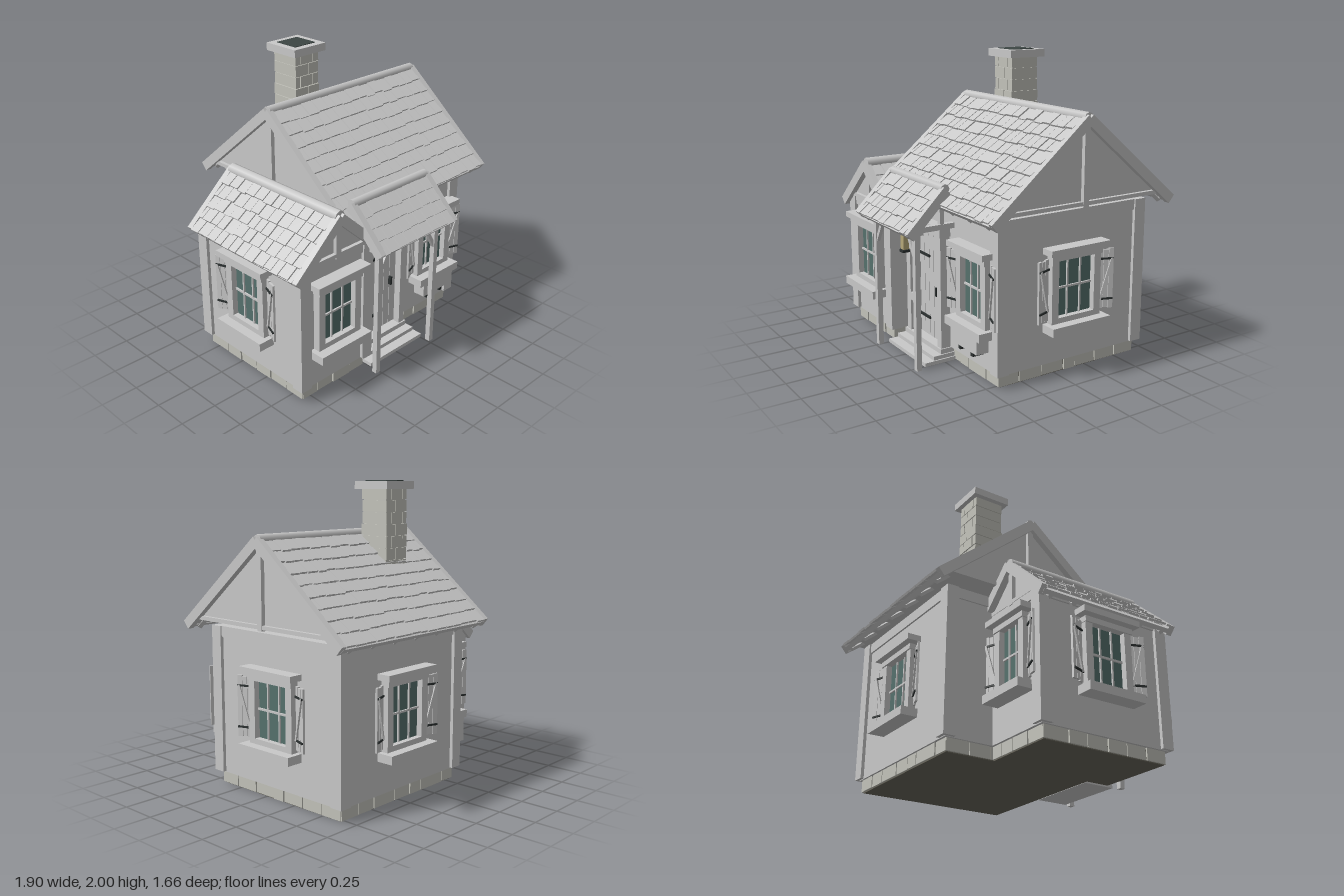
import * as THREE from 'three';
import { mergeGeometries } from 'three/addons/utils/BufferGeometryUtils.js';

const mat = (name, color) => Object.assign(new THREE.MeshStandardMaterial({ color }), { name });

export function createModel() {
  const M = {
    timber: mat('pale grey', 0xc8c8c8),
    stone: mat('warm stone', 0xc2c2ba),
    floor: mat('dark earth', 0x68655a),
    glass: mat('teal glass', 0x55706c),
    iron: mat('dark iron', 0x2c3131),
    soot: mat('soot', 0x3c4644),
    lamp: mat('lamp glow', 0xb5a878),
  };
  let seed = 7;
  const rnd = () => (seed = (seed * 16807) % 2147483647) / 2147483647;
  const root = new THREE.Group();
  root.name = 'cottage';

  const group = (name, parent, x = 0, y = 0, z = 0) => {
    const g = new THREE.Group();
    g.name = name;
    g.position.set(x, y, z);
    parent.add(g);
    return g;
  };
  const mesh = (name, parent, geo, m) => {
    const o = new THREE.Mesh(geo, m);
    o.name = name;
    parent.add(o);
    return o;
  };
  // Box placed by its centre
  const box = (name, parent, m, w, h, d, x, y, z) => {
    const o = mesh(name, parent, new THREE.BoxGeometry(w, h, d), m);
    o.position.set(x, y, z);
    return o;
  };
  // Box placed by its lower and upper corners
  const span = (name, parent, m, x0, x1, y0, y1, z0, z1) =>
    box(name, parent, m, x1 - x0, y1 - y0, z1 - z0, (x0 + x1) / 2, (y0 + y1) / 2, (z0 + z1) / 2);

  // Walls, corner posts, top plates and foundation stones of one block
  function block(name, x0, x1, z0, z1, top) {
    const g = group(name, root);
    span('wall', g, M.timber, x0, x1, 0.085, top, z0, z1);
    for (const x of [x0, x1]) for (const z of [z0, z1]) {
      const sx = x === x0 ? 1 : -1, sz = z === z0 ? 1 : -1;
      box('cornerPost', g, M.timber, 0.085, top - 0.09, 0.085, x + sx * 0.02, (top + 0.09) / 2, z + sz * 0.02);
    }
    span('topPlate', g, M.timber, x0 - 0.012, x1 + 0.012, top - 0.07, top, z0 - 0.012, z1 + 0.012);
    const i = 0.025;
    span('foundationCore', g, M.floor, x0 + i, x1 - i, 0, 0.085, z0 + i, z1 - i);
    const row = (a, b, put) => {
      const n = Math.round((b - a) / 0.15), cuts = [a];
      for (let k = 1; k < n; k++) cuts.push(a + (b - a) * (k + (rnd() - 0.5) * 0.5) / n);
      cuts.push(b);
      for (let k = 0; k < n; k++) put(cuts[k] + 0.004, cuts[k + 1] - 0.004, rnd() * 0.01);
    };
    for (const z of [z0 + 0.045, z1 - 0.045])
      row(x0 + 0.015, x1 - 0.015, (a, b, j) => span('foundationStone', g, M.stone, a, b, 0.006, 0.088, z - 0.025 - j, z + 0.025 + j));
    for (const x of [x0 + 0.045, x1 - 0.045])
      row(z0 + 0.015, z1 - 0.015, (a, b, j) => span('foundationStone', g, M.stone, x - 0.025 - j, x + 0.025 + j, 0.006, 0.088, a, b));
  }

  // One shingled slope, falling from its ridge towards local +z
  function slope(parent, w, run, rise, rows) {
    const g = group('roofSlope', parent);
    g.rotation.x = Math.atan2(rise, run);
    const len = Math.hypot(run, rise), step = (len - 0.03) / rows;
    box('roofDeck', g, M.timber, w - 0.03, 0.025, len - 0.02, 0, -0.0125, len / 2 - 0.01);
    const tiles = [];
    for (let r = 0; r < rows; r++) {
      let x = -w / 2 + 0.035;
      const end = -x;
      let tw = r % 2 ? 0.04 : 0.08;
      while (x < end - 0.01) {
        if (x + tw > end - 0.025) tw = end - x;
        const t = new THREE.BoxGeometry(tw - 0.006, 0.014, step * 1.2);
        t.rotateX(-0.13);
        t.translate(x + tw / 2, 0.011 + rnd() * 0.006, 0.015 + (r + 0.5) * step + rnd() * 0.012);
        tiles.push(t);
        x += tw;
        tw = 0.065 + rnd() * 0.028;
      }
    }
    mesh('shingles', g, mergeGeometries(tiles), M.timber);
    for (const s of [-1, 1]) box('bargeBoard', g, M.timber, 0.042, 0.065, len, s * (w / 2 - 0.021), -0.008, len / 2);
    box('eaveBoard', g, M.timber, w - 0.05, 0.03, 0.022, 0, -0.015, len - 0.01);
    const n = Math.round(w / 0.19);
    for (let k = 0; k < n; k++) {
      const tail = box('rafterTail', g, M.timber, 0.026, 0.026, Math.min(0.24, len * 0.7), (k + 0.5) * w / n - w / 2, -0.035, len - Math.min(0.12, len * 0.35));
      tail.rotation.z = Math.PI / 4;
    }
  }
  const ridgePole = (parent, w, r) => {
    const geo = new THREE.CylinderGeometry(r, r, w, 8).rotateZ(Math.PI / 2);
    return mesh('ridgePole', parent, geo, M.timber);
  };
  // Two slopes with a closed attic, king posts and tie beams; the ridge runs along local x
  function gableRoof(name, w, run, rise, rows, drop, r, x, y, z) {
    const g = group(name, root, x, y, z);
    for (const a of [0, Math.PI]) {
      const side = group('roofSide', g);
      side.rotation.y = a;
      slope(side, w, run, rise, rows);
    }
    ridgePole(g, w - 0.04, r);
    const half = (drop - 0.02) * run / rise, depth = w - 0.11;
    const tri = new THREE.Shape([[-half, -drop], [half, -drop], [0, -0.02]].map(p => new THREE.Vector2(...p)));
    const geo = new THREE.ExtrudeGeometry(tri, { depth, bevelEnabled: false });
    mesh('gableWalls', g, geo.translate(0, 0, -depth / 2).rotateY(Math.PI / 2), M.timber);
    for (const s of [-1, 1]) {
      const px = s * (w / 2 - 0.045);
      box('kingPost', g, M.timber, 0.035, drop, 0.04, px, -drop / 2 - 0.01, 0);
      box('tieBeam', g, M.timber, 0.03, 0.025, half * 2, px, -drop + 0.0125, 0);
    }
    return g;
  }

  block('mainHouse', -0.33, 0.80, -0.67, 0.44, 1.07);
  block('sideWing', -0.835, -0.255, -0.34, 0.61, 0.95);
  gableRoof('mainRoof', 1.41, 0.69, 0.575, 9, 0.54, 0.033, 0.245, 1.655, -0.115);
  gableRoof('wingRoof', 1.05, 0.36, 0.325, 5, 0.275, 0.04, -0.545, 1.215, 0.14).rotation.y = Math.PI / 2;

  // Window on a wall facing local +z: half widths of glass and trim
  function makeWindow(name, x, z, turn, gw, y0, y1, shutters) {
    const g = group(name, root, x, 0, z);
    g.rotation.y = turn;
    const fw = gw + 0.052, mid = (y0 + y1) / 2;
    span('glass', g, M.glass, -gw, gw, y0, y1, 0.002, 0.01);
    for (const s of [-1, 1]) box('jamb', g, M.timber, 0.052, y1 - y0 + 0.02, 0.05, s * (gw + 0.026), mid, 0.025);
    span('headBoard', g, M.timber, -fw - 0.005, fw + 0.005, y1, y1 + 0.036, 0, 0.06);
    span('lintel', g, M.timber, -fw - 0.04, fw + 0.04, y1 + 0.046, y1 + 0.085, -0.01, 0.095);
    span('lowerRail', g, M.timber, -fw, fw, y0 - 0.035, y0, 0, 0.05);
    span('sill', g, M.timber, -fw - 0.035, fw + 0.035, y0 - 0.09, y0 - 0.035, -0.01, 0.115);
    for (const s of [-1, 1]) box('mullion', g, M.timber, 0.011, y1 - y0, 0.014, s * gw * 0.36, mid, 0.014);
    box('crossBar', g, M.timber, gw * 2, 0.013, 0.014, 0, mid, 0.014);
    if (!shutters) return;
    for (const s of [-1, 1]) {
      const h = group('shutter', g, s * (fw + 0.008), mid, 0.012);
      h.rotation.y = -s * 0.35;
      for (let k = 0; k < 3; k++)
        box('shutterPlank', h, M.timber, 0.032, 0.4 - (k % 2) * 0.012, 0.014, s * (0.018 + k * 0.035), 0, 0);
      for (const v of [-1, 1]) box('hinge', h, M.iron, 0.1, 0.012, 0.008, s * 0.052, v * 0.135, 0.011);
      const brace = box('shutterBrace', h, M.timber, 0.016, 0.29, 0.012, s * 0.053, 0, 0.012);
      brace.rotation.z = -s * 0.28;
    }
  }
  makeWindow('wingFrontWindow', -0.55, 0.61, 0, 0.13, 0.39, 0.75, false);
  makeWindow('mainFrontWindow', 0.555, 0.44, 0, 0.117, 0.405, 0.78, true);
  makeWindow('mainSideWindow', 0.80, -0.115, Math.PI / 2, 0.14, 0.395, 0.77, true);
  makeWindow('mainBackWindow', 0.245, -0.67, Math.PI, 0.14, 0.395, 0.77, true);
  makeWindow('wingBackWindow', -0.575, -0.34, Math.PI, 0.1, 0.395, 0.77, true);
  makeWindow('wingSideWindow', -0.835, 0.135, -Math.PI / 2, 0.125, 0.395, 0.77, true);

  // Flower box under the front window
  const planter = group('flowerBox', root, 0.555, 0, 0.44);
  span('planterBox', planter, M.timber, -0.15, 0.15, 0.215, 0.31, 0.01, 0.1);
  for (const x of [-0.08, 0.065]) span('planterBracket', planter, M.iron, x - 0.012, x + 0.012, 0.175, 0.205, 0, 0.08);

  // Door with planks, frame and ironwork
  const door = group('door', root, 0, 0, 0.44);
  for (let k = 0; k < 6; k++) box('doorPlank', door, M.timber, 0.056, 0.75, 0.02, -0.15 + k * 0.06, 0.47, 0.012);
  span('doorBacking', door, M.timber, -0.18, 0.18, 0.09, 0.85, 0, 0.012);
  for (const s of [-1, 1]) box('doorJamb', door, M.timber, 0.05, 0.78, 0.07, s * 0.205, 0.475, 0.035);
  span('doorHead', door, M.timber, -0.24, 0.24, 0.845, 0.91, 0, 0.08);
  for (const y of [0.66, 0.225]) span('strapHinge', door, M.iron, -0.15, 0.015, y - 0.008, y + 0.008, 0.022, 0.034);
  span('doorHandle', door, M.iron, 0.11, 0.125, 0.41, 0.47, 0.022, 0.045);
  span('latchBlock', door, M.timber, -0.18, -0.135, 0.305, 0.36, 0.022, 0.07);

  // Wall lantern beside the door
  const lantern = group('lantern', root, -0.212, 0.72, 0.53);
  box('lanternGlass', lantern, M.lamp, 0.045, 0.11, 0.045, 0, 0, 0);
  for (const y of [-0.065, 0.065]) box('lanternPlate', lantern, M.iron, 0.06, 0.018, 0.065, 0, y, 0);
  box('lanternArm', lantern, M.iron, 0.05, 0.014, 0.02, -0.01, 0.085, 0);

  // Steps and porch
  const porch = group('porch', root);
  [[0, 0.025, 0.65], [0.025, 0.052, 0.58], [0.052, 0.085, 0.52]].forEach(([a, b, z], k) =>
    span('step', porch, M.timber, -0.25, 0.26 - k * 0.01, a, b, 0.42, z));
  for (const s of [-1, 1]) {
    const x = s > 0 ? 0.275 : -0.265;
    box('porchPost', porch, M.timber, 0.036, 0.93, 0.036, x, 0.465, 0.71);
    const brace = box('porchBrace', porch, M.timber, 0.024, 0.21, 0.024, x - s * 0.05, 0.82, 0.71);
    brace.rotation.z = s * 0.52;
    span('porchSideBeam', porch, M.timber, x - 0.018, x + 0.018, 0.915, 0.95, 0.44, 0.74);
    const strut = box('porchStrut', porch, M.timber, 0.03, 0.28, 0.03, x, 1.05, 0.53);
    strut.rotation.x = 0;
  }
  span('porchBeam', porch, M.timber, -0.33, 0.34, 0.915, 0.955, 0.69, 0.73);
  const porchRoof = group('porchRoof', porch, 0.005, 1.19, 0.54);
  slope(porchRoof, 0.73, 0.265, 0.265, 4);
  ridgePole(porchRoof, 0.69, 0.032);

  // Chimney of staggered bricks
  const chimney = group('chimney', root, -0.047, 0, -0.267);
  span('chimneyCore', chimney, M.stone, -0.095, 0.095, 1.35, 1.95, -0.095, 0.095);
  for (let k = 0; k < 8; k++) {
    const y = 1.95 - k * 0.077, e = 0.102 + rnd() * 0.006;
    const cuts = k % 2 ? [-e, 0.01, e] : [-e, -0.06, 0.05, e];
    for (let c = 0; c + 1 < cuts.length; c++)
      span('chimneyBrick', chimney, M.stone, cuts[c] + 0.003, cuts[c + 1] - 0.003, y - 0.072, y, -e - rnd() * 0.004, e);
  }
  span('chimneyCap', chimney, M.timber, -0.137, 0.137, 1.945, 1.996, -0.137, 0.137);
  span('flueOpening', chimney, M.soot, -0.088, 0.088, 1.993, 2, -0.088, 0.088);

  return root;
}
